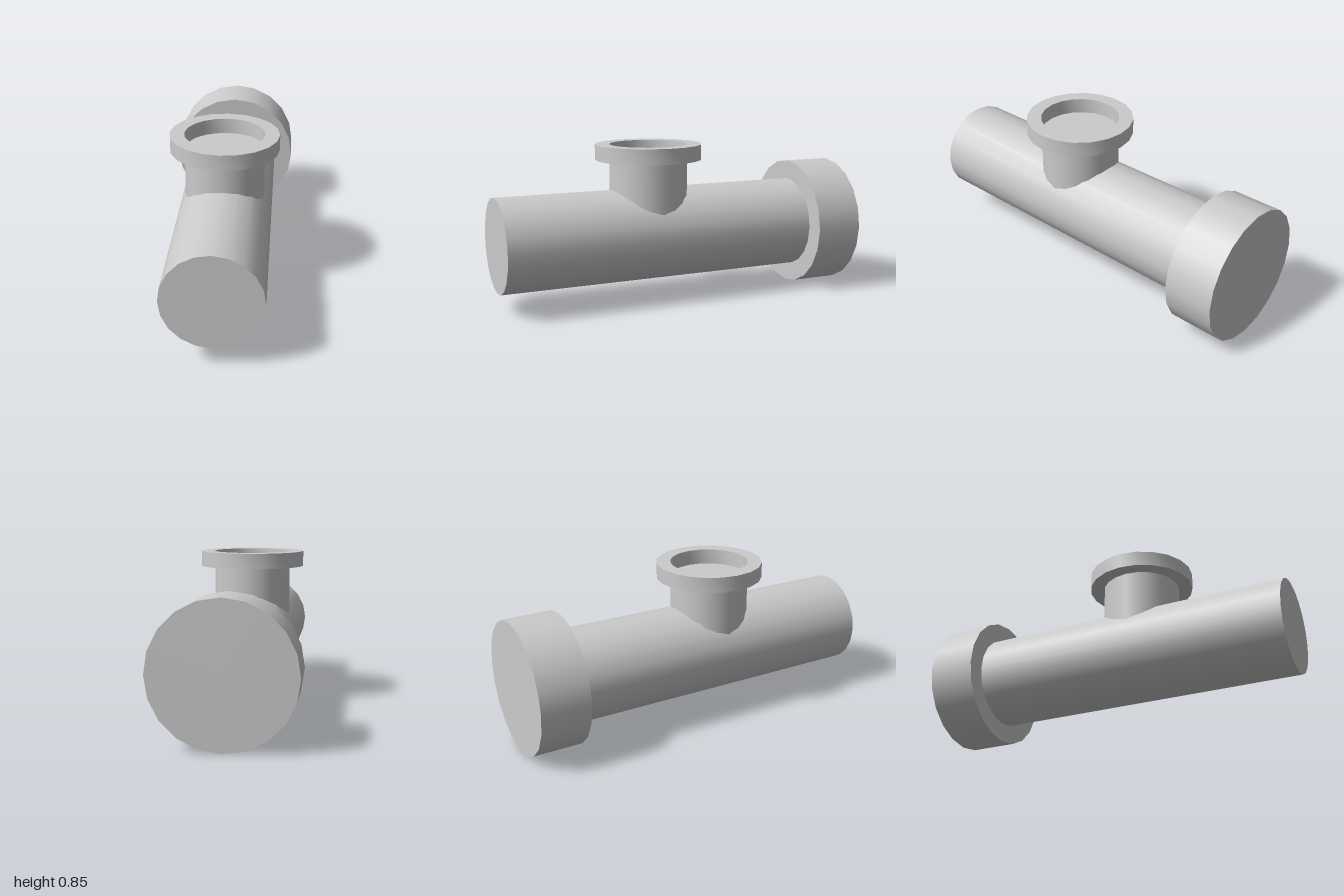
import * as THREE from 'three';
import { toCreasedNormals } from 'three/addons/utils/BufferGeometryUtils.js';

const SIDES = 20;
const AXIS_Y = 0.358; // height of the main pipe's axis
const BRANCH_Z = 0.15; // position of the branch along the pipe
const BRANCH_R = 0.212;
const COLLAR_BOTTOM = 0.767;
const COLLAR_TOP = 0.85;

export function createModel() {
  const group = new THREE.Group();
  const material = new THREE.MeshStandardMaterial({ color: 0xcccccc });

  const add = (name, geometry, y, z) => {
    const mesh = new THREE.Mesh(geometry, material);
    mesh.name = name;
    mesh.position.set(0, y, z);
    group.add(mesh);
  };

  // Solid cylinder lying along z between two ends
  const addAlongZ = (name, radius, z0, z1) => {
    const geometry = new THREE.CylinderGeometry(radius, radius, z1 - z0, SIDES);
    geometry.rotateX(Math.PI / 2);
    add(name, geometry, AXIS_Y, (z0 + z1) / 2);
  };

  addAlongZ('mainPipe', 0.252, -0.735, 1);
  addAlongZ('endFlange', 0.357, -1, -0.735);

  // Upright branch, its closed top forming the floor of the collar's recess
  const branchHeight = COLLAR_BOTTOM - AXIS_Y;
  add('branchPipe', new THREE.CylinderGeometry(BRANCH_R, BRANCH_R, branchHeight, SIDES),
    AXIS_Y + branchHeight / 2, BRANCH_Z);

  // Ring-shaped collar around the branch mouth
  const collarHeight = COLLAR_TOP - COLLAR_BOTTOM;
  const profile = [
    [BRANCH_R, 0], [0.289, 0], [0.289, collarHeight], [BRANCH_R, collarHeight], [BRANCH_R, 0],
  ].map(([r, y]) => new THREE.Vector2(r, y));
  add('branchCollar', toCreasedNormals(new THREE.LatheGeometry(profile, SIDES), 0.6),
    COLLAR_BOTTOM, BRANCH_Z);

  return group;
}
